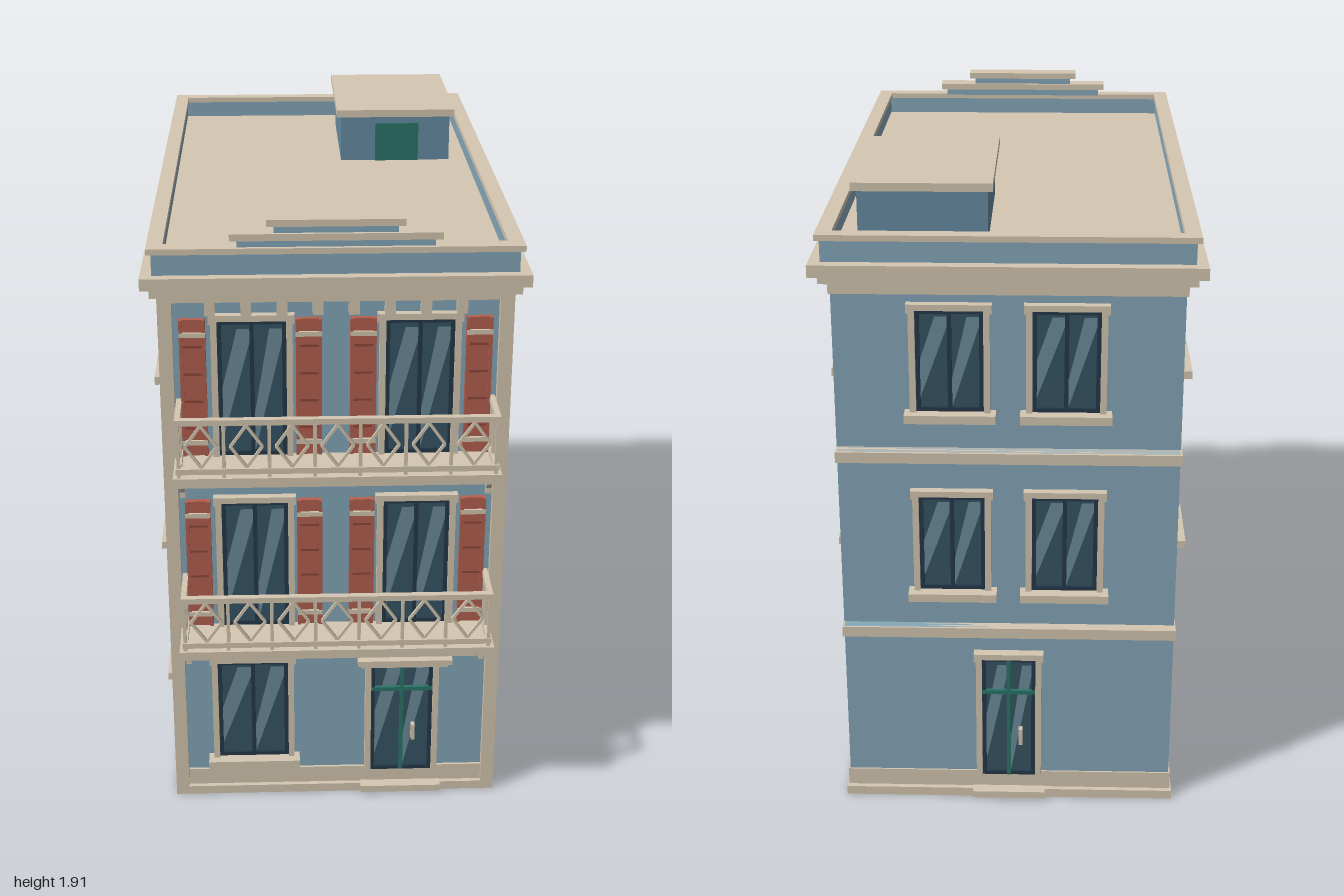
import * as THREE from 'three';

const mat = (color, side = THREE.FrontSide) => new THREE.MeshStandardMaterial({ color, side });
const BLUE = mat(0x86a8ba), DEEP = mat(0x668ca3), TAN = mat(0xd5c8b2), RED = mat(0xb5604f), DARKRED = mat(0x8f483c);
const GREEN = mat(0x2a756a), NAVY = mat(0x25394a), GLASS = mat(0x365565);
const SHINE = mat(0x6d8d9c, THREE.DoubleSide);

function group(parent, name) {
  const g = new THREE.Group();
  g.name = name;
  parent.add(g);
  return g;
}

// Box given by its limits on each axis
function box(parent, name, material, x0, x1, y0, y1, z0, z1) {
  const m = new THREE.Mesh(new THREE.BoxGeometry(x1 - x0, y1 - y0, z1 - z0), material);
  m.position.set((x0 + x1) / 2, (y0 + y1) / 2, (z0 + z1) / 2);
  m.name = name;
  parent.add(m);
  return m;
}

// Straight square bar between two points in the plane of x and y
function bar(parent, name, ax, ay, bx, by, z, t) {
  const m = new THREE.Mesh(new THREE.BoxGeometry(Math.hypot(bx - ax, by - ay), t, t), TAN);
  m.position.set((ax + bx) / 2, (ay + by) / 2, z);
  m.rotation.z = Math.atan2(by - ay, bx - ax);
  m.name = name;
  parent.add(m);
}

// Rectangular ring lying flat, used for parapet and coping
function ring(parent, name, material, outer, inner, y0, y1) {
  const rect = (P, [x, zb, zf]) => {
    const p = new P();
    p.moveTo(-x, -zf); p.lineTo(x, -zf); p.lineTo(x, -zb); p.lineTo(-x, -zb); p.closePath();
    return p;
  };
  const shape = rect(THREE.Shape, outer);
  shape.holes.push(rect(THREE.Path, inner));
  const geo = new THREE.ExtrudeGeometry(shape, { depth: y1 - y0, bevelEnabled: false });
  const m = new THREE.Mesh(geo.rotateX(-Math.PI / 2), material);
  m.position.y = y0;
  m.name = name;
  parent.add(m);
}

// Window or door facing +z, glass w by h, bottom of the glass at y = 0
function opening(parent, name, w, h, { sill = true, door = false } = {}) {
  const g = group(parent, name), a = w / 2, f = 0.018;
  for (const s of [-1, 1]) {
    box(g, 'frameSide', TAN, s < 0 ? -a - f : a, s < 0 ? -a : a + f, 0, h, -0.01, 0.025);
    box(g, 'sashSide', NAVY, s < 0 ? -a : a - 0.012, s < 0 ? -a + 0.012 : a, 0, h, -0.01, 0.014);
  }
  box(g, 'frameHead', TAN, -a - f, a + f, h, h + f, -0.01, 0.025);
  for (const s of [-1, 1]) box(g, 'frameEar', TAN, s * (a + f) - 0.006, s * (a + f) + 0.006, h - 0.008, h + f, -0.01, 0.024);
  box(g, 'sashTop', NAVY, -a, a, h - 0.012, h, -0.01, 0.014);
  box(g, 'sashBottom', NAVY, -a, a, 0, 0.012, -0.01, 0.014);
  box(g, 'glass', GLASS, -a, a, 0, h, -0.01, 0.005);
  box(g, 'mullion', door ? GREEN : NAVY, -0.006, 0.006, 0, h, -0.01, 0.015);
  // Slanted reflections, one on each pane
  const p = a - 0.018;
  for (const [x, lo, hi] of [[-a + 0.012, 0.1, 0.5], [0.006, 0.0, 0.3]]) {
    const shape = new THREE.Shape([[0, lo], [0, hi], [p * 0.55, 0.95], [p, 0.95], [p, 0.85]]
      .map(([u, v]) => new THREE.Vector2(u, v * (h - 0.02) + 0.012)));
    const shine = new THREE.Mesh(new THREE.ShapeGeometry(shape), SHINE);
    shine.position.set(x, 0, 0.0065);
    shine.name = 'reflection';
    g.add(shine);
  }
  if (sill) box(g, 'sill', TAN, -a - 0.034, a + 0.034, -0.025, 0, -0.01, 0.05);
  if (door) {
    box(g, 'transom', GREEN, -a, a, h * 0.7, h * 0.7 + 0.013, -0.01, 0.016);
    box(g, 'handle', TAN, 0.03, 0.042, h * 0.28, h * 0.41, 0, 0.026);
  }
  return g;
}

// Hinged shutter with sunken panels and pale straps
function shutter(parent, x, y, h) {
  const g = group(parent, 'shutter');
  g.position.set(x, y, 0.836);
  box(g, 'shutterLeaf', RED, -0.037, 0.037, 0, h, -0.005, 0.016);
  for (let i = 0; i < 4; i++)
    box(g, 'shutterPanelEdge', DARKRED, -0.027, 0.027, h * (0.2 + i * 0.2), h * (0.2 + i * 0.2) + 0.007, 0, 0.02);
  for (const s of [-1, 1]) box(g, 'shutterStile', RED, s * 0.032 - 0.005, s * 0.032 + 0.005, 0, h, 0, 0.022);
  for (const v of [0.1, 0.895]) box(g, 'shutterStrap', TAN, -0.037, 0.037, h * v - 0.007, h * v + 0.007, 0, 0.024);
}

// Balcony whose slab top is at y
function balcony(parent, y) {
  const g = group(parent, 'balcony');
  g.position.y = y;
  box(g, 'balconySlab', TAN, -0.465, 0.465, -0.024, 0, 0.82, 1);
  box(g, 'balconySlabMoulding', TAN, -0.455, 0.455, -0.034, -0.024, 0.82, 0.99);
  const n = 7, step = 0.128, x0 = -n * step / 2, zf = 0.988;
  for (const y0 of [0.012, 0.162]) {
    box(g, 'frontRail', TAN, x0 - 0.008, -x0 + 0.008, y0, y0 + 0.017, zf - 0.01, zf + 0.01);
    for (const s of [-1, 1]) box(g, 'sideRail', TAN, s * x0 - 0.008, s * x0 + 0.008, y0, y0 + 0.017, 0.84, zf);
  }
  for (let i = 0; i <= n; i++) {
    const x = x0 + i * step;
    box(g, 'baluster', TAN, x - 0.005, x + 0.005, 0, 0.17, zf - 0.005, zf + 0.005);
    if (i === n) continue;
    // Diamond in each bay
    const c = x + step / 2, m = 0.094, dx = 0.045, dy = 0.064;
    for (const sx of [-1, 1]) for (const sy of [-1, 1]) bar(g, 'diamondBar', c + sx * dx, m, c, m + sy * dy, zf, 0.008);
  }
  for (const s of [-1, 1]) {
    for (const z of [0.862, 0.915]) box(g, 'sideBaluster', TAN, s * x0 - 0.005, s * x0 + 0.005, 0, 0.17, z - 0.005, z + 0.005);
    // Diagonal bracket and its wall plate
    const b = group(g, 'bracket');
    b.position.set(s * 0.447, 0, 0.84);
    b.rotation.y = -Math.PI / 2;
    bar(b, 'bracketStrut', 0, -0.115, 0.1, -0.03, 0, 0.015);
    box(b, 'bracketPlate', TAN, 0, 0.015, -0.13, -0.03, -0.008, 0.008);
  }
}

export function createModel() {
  const model = new THREE.Group();
  model.name = 'townhouse';
  const W = 0.49, F = 0.836, B = -0.95;

  // Storeys, parted by a narrow shadow gap above each belt course
  for (const [y0, y1] of [[0.02, 0.584], [0.6, 1.153], [1.169, 1.73]]) box(model, 'storey', BLUE, -W, W, y0, y1, B, F);
  for (const y of [0.584, 1.153]) box(model, 'beltCourse', TAN, -W - 0.006, W + 0.006, y - 0.033, y, B - 0.006, F + 0.008);
  box(model, 'baseBand', TAN, -W - 0.005, W + 0.005, 0.02, 0.083, B - 0.005, F + 0.008);
  box(model, 'plinth', TAN, -0.5, 0.5, 0, 0.028, -0.97, 0.858);
  for (const s of [-1, 1]) box(model, 'cornerPilaster', TAN, s * 0.48 - 0.02, s * 0.48 + 0.02, 0.02, 1.67, 0.828, 0.858);

  // Cornice, dentils and roof
  box(model, 'frieze', TAN, -W - 0.006, W + 0.006, 1.63, 1.68, B - 0.006, F - 0.005);
  box(model, 'frontFrieze', TAN, -0.5, 0.5, 1.65, 1.68, 0.8, 0.862);
  box(model, 'lowerCornice', TAN, -0.52, 0.52, 1.665, 1.69, -0.978, 0.865);
  box(model, 'cornice', TAN, -0.545, 0.545, 1.69, 1.725, -1, 0.875);
  for (let i = 0; i < 8; i++) {
    const x = -0.3535 + i * 0.101;
    box(model, 'dentil', TAN, x - 0.015, x + 0.015, 1.61, 1.652, 0.83, 0.862);
  }
  box(model, 'roofDeck', TAN, -0.49, 0.49, 1.72, 1.735, -0.945, 0.82);
  ring(model, 'parapet', BLUE, [0.512, -0.966, 0.845], [0.485, -0.94, 0.815], 1.725, 1.79);
  ring(model, 'parapetCoping', TAN, [0.525, -0.98, 0.858], [0.48, -0.935, 0.81], 1.788, 1.805);

  // Stepped crest over the front
  for (const [x, y] of [[0.295, 1.805], [0.192, 1.845]]) {
    box(model, 'crestBlock', BLUE, -x + 0.02, x - 0.02, y - 0.002, y + 0.022, 0.8, 0.845);
    box(model, 'crestCap', TAN, -x, x, y + 0.02, y + 0.04, 0.79, 0.855);
  }

  // Stair hut on the roof
  const hut = group(model, 'stairHut');
  box(hut, 'hutWalls', DEEP, 0.06, 0.425, 1.73, 1.89, -0.81, -0.305);
  box(hut, 'hutRoof', TAN, 0.045, 0.44, 1.886, 1.91, -0.83, -0.288);
  box(hut, 'hutDoor', GREEN, 0.175, 0.32, 1.735, 1.862, -0.32, -0.298);

  // Front: tall windows with shutters and balconies on the upper floors
  for (const y of [0.607, 1.174]) {
    for (const s of [-1, 1]) {
      opening(model, 'balconyWindow', 0.195, 0.415, { sill: false }).position.set(s * 0.238, y + 0.003, F);
      for (const x of [0.077, 0.405]) shutter(model, s * x, y + 0.005, 0.417);
    }
    balcony(model, y);
  }
  opening(model, 'groundWindow', 0.215, 0.342).position.set(-0.253, 0.137, F);
  opening(model, 'frontDoor', 0.19, 0.415, { sill: false, door: true }).position.set(0.205, 0.08, F + 0.008);
  box(model, 'doorCanopy', TAN, 0.075, 0.338, 0.495, 0.51, 0.83, 0.925);
  box(model, 'doorCanopyTop', TAN, 0.065, 0.35, 0.51, 0.527, 0.83, 0.94);
  box(model, 'frontStep', TAN, 0.08, 0.33, 0.008, 0.03, 0.83, 0.878);

  // Sides: three windows on each upper floor, one at ground level
  for (const s of [-1, 1]) {
    const place = (w, h, y, z) => {
      const o = opening(model, 'sideWindow', w, h);
      o.position.set(s * W, y, z);
      o.rotation.y = s * Math.PI / 2;
    };
    for (const y of [0.721, 1.287]) for (const z of [0.39, -0.06, -0.51]) place(0.19, 0.302, y, z);
    place(0.205, 0.26, 0.212, s > 0 ? -0.456 : 0.35);
  }

  // Back: two windows on each upper floor and a door
  const back = group(model, 'backOpenings');
  back.position.z = B;
  back.rotation.y = Math.PI;
  for (const y of [0.721, 1.287]) for (const x of [-0.163, 0.163])
    opening(back, 'backWindow', 0.19, 0.302).position.set(x, y, 0);
  opening(back, 'backDoor', 0.16, 0.41, { sill: false, door: true }).position.set(0, 0.08, 0.005);
  box(back, 'backStep', TAN, -0.11, 0.11, 0.008, 0.03, 0, 0.04);

  return model;
}
